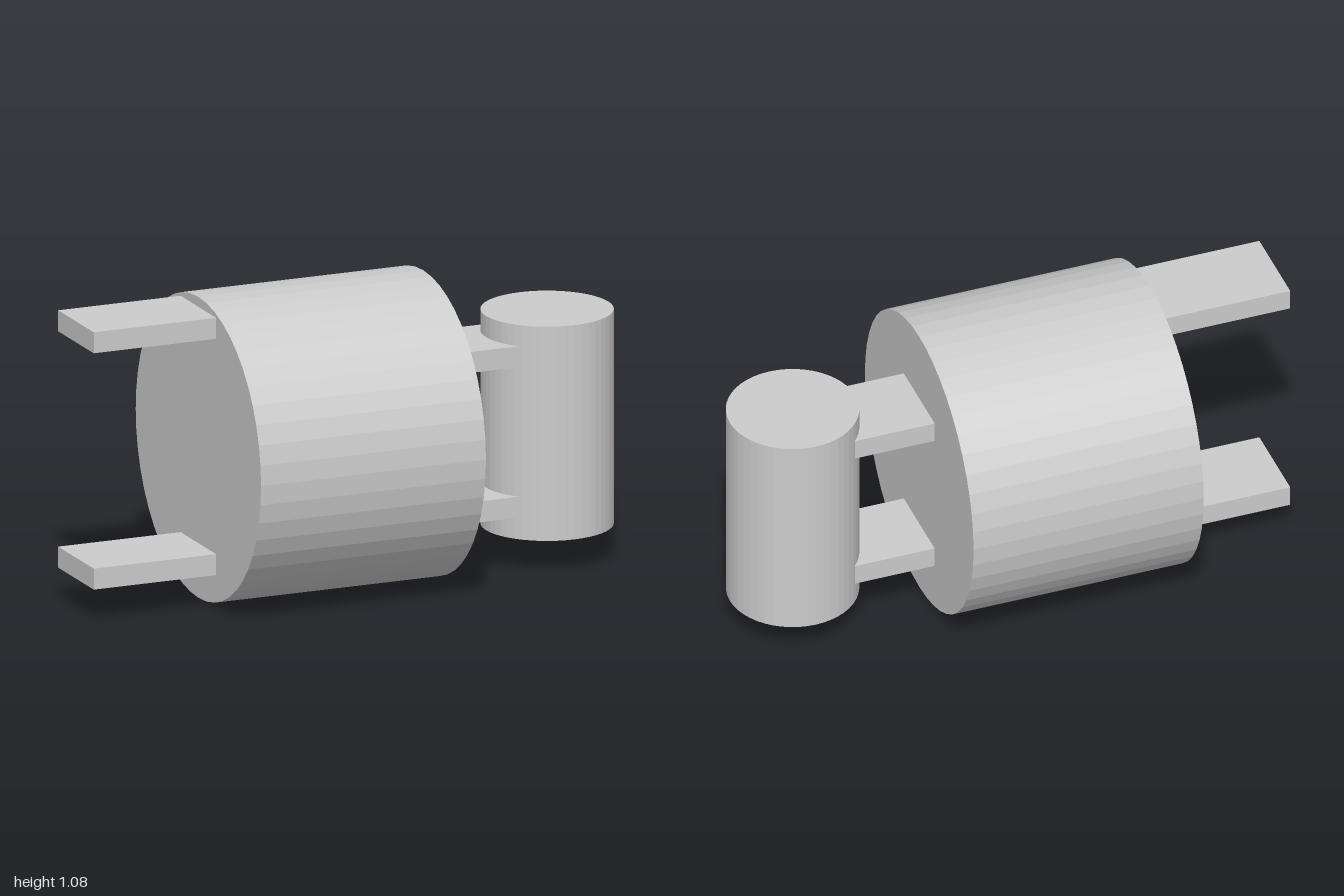
import * as THREE from 'three';

export function createModel() {
  const group = new THREE.Group();
  const material = new THREE.MeshStandardMaterial({ color: 0xcccccc, flatShading: true });
  const midY = 0.538;

  const add = (name, geometry, x, y) => {
    const mesh = new THREE.Mesh(geometry, material);
    mesh.name = name;
    mesh.position.set(x, y, 0);
    group.add(mesh);
    return mesh;
  };

  // Flat bar spanning x0 to x1
  const bar = (name, x0, x1, y) =>
    add(name, new THREE.BoxGeometry(x1 - x0, 0.075, 0.306), (x0 + x1) / 2, y);

  // Large drum lying along x
  add('drum', new THREE.CylinderGeometry(0.538, 0.538, 0.845, 48), -0.1175, midY)
    .rotation.z = Math.PI / 2;

  // Upright cylinder beside the drum
  add('uprightCylinder', new THREE.CylinderGeometry(0.23, 0.23, 0.766, 48), 0.77, 0.503);

  // Two bars joining the drum to the upright cylinder
  bar('upperConnector', 0.305, 0.597, 0.773);
  bar('lowerConnector', 0.305, 0.597, 0.235);

  // Two free bars on the opposite end
  bar('upperArm', -1, -0.54, 1.003);
  bar('lowerArm', -1, -0.54, 0.158);

  return group;
}
